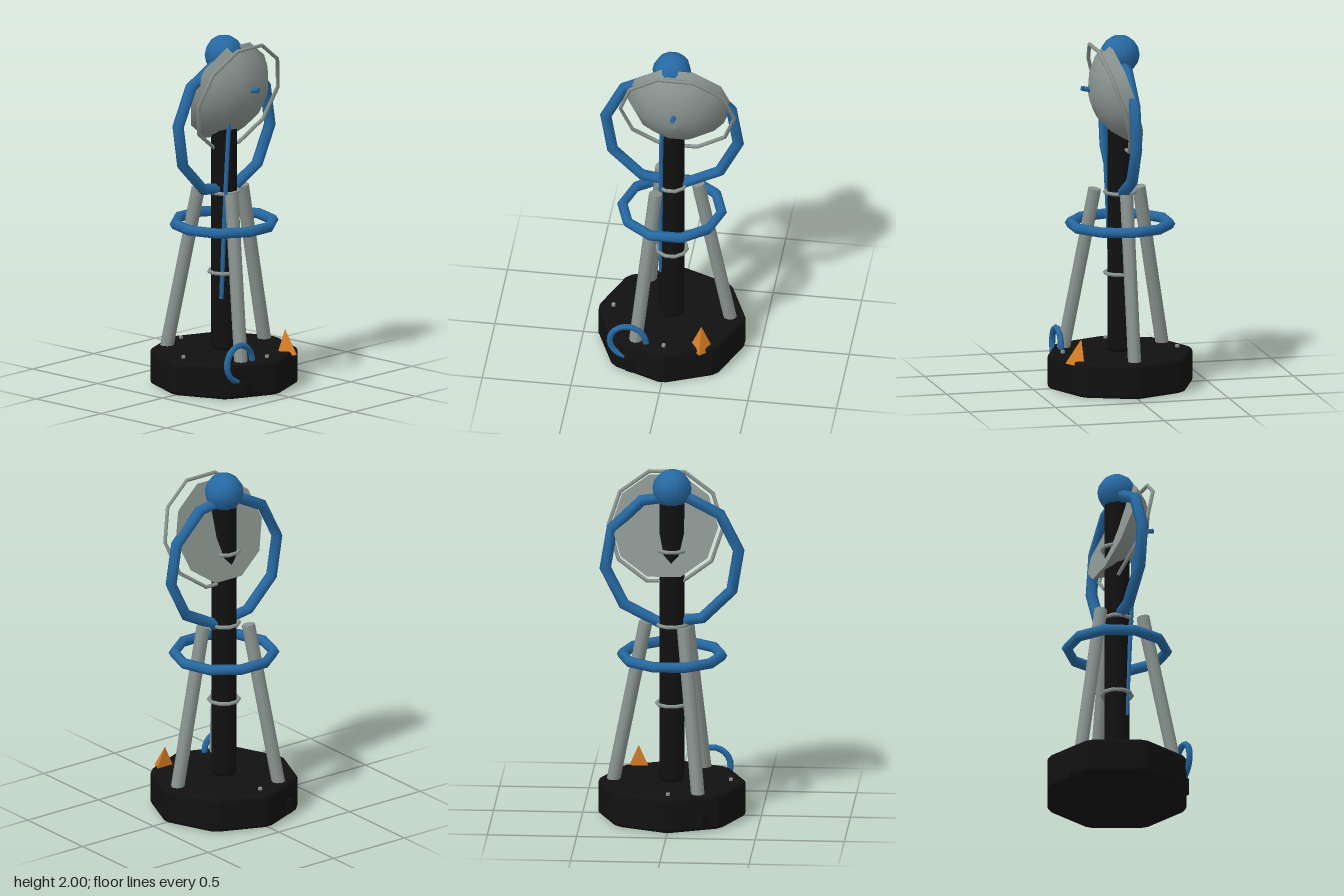
import * as THREE from 'three';

const mat = (name, color) => {
  const m = new THREE.MeshStandardMaterial({ color });
  m.name = name;
  return m;
};

export function createModel() {
  const root = new THREE.Group();
  const black = mat('black', 0x111111);
  const grey = mat('grey', 0x8a9490);
  const blue = mat('blue', 0x2669a3);
  const orange = mat('orange', 0xd67c22);

  const add = (name, geo, material, x = 0, y = 0, z = 0, parent = root) => {
    const m = new THREE.Mesh(geo, material);
    m.name = name;
    m.position.set(x, y, z);
    parent.add(m);
    return m;
  };
  const ring = (r, tube, sides = 6, segs = 10, arc = Math.PI * 2) =>
    new THREE.TorusGeometry(r, tube, sides, segs, arc);

  // Cylinder between two points
  const rod = (name, a, b, r, material, sides = 8) => {
    const dir = b.clone().sub(a);
    const m = add(name, new THREE.CylinderGeometry(r, r, dir.length(), sides), material);
    m.position.copy(a).add(b).multiplyScalar(0.5);
    m.quaternion.setFromUnitVectors(new THREE.Vector3(0, 1, 0), dir.normalize());
    return m;
  };

  // Octagonal base with cut corners and bevelled edges
  const outline = [];
  for (let i = 0; i < 8; i++) {
    for (const s of [-0.055, 0.055]) {
      const a = (i * Math.PI) / 4 + s;
      outline.push(new THREE.Vector2(0.412 * Math.cos(a), 0.412 * Math.sin(a)));
    }
  }
  const baseGeo = new THREE.ExtrudeGeometry(new THREE.Shape(outline), {
    depth: 0.16, bevelEnabled: true, bevelThickness: 0.02, bevelSize: 0.02, bevelOffset: -0.02, bevelSegments: 2,
  });
  baseGeo.rotateX(-Math.PI / 2);
  add('base', baseGeo, black, 0, 0.02, 0);

  // Three splayed legs, each with a foot at the base edge
  for (let i = 0; i < 3; i++) {
    const a = (i * Math.PI * 2) / 3;
    const at = (r, y) => new THREE.Vector3(r * Math.cos(a), y, r * Math.sin(a));
    rod('leg', at(0.335, 0.16), at(0.147, 1.115), 0.038, grey);
    const f = at(0.36, 0.06);
    add('foot', new THREE.CylinderGeometry(0.05, 0.05, 0.08, 8), black, f.x, f.y, f.z);
  }

  // Bolts on the base
  for (let i = 0; i < 4; i++) {
    const a = (i * Math.PI) / 2;
    add('bolt', new THREE.CylinderGeometry(0.012, 0.012, 0.03, 6), grey,
      0.33 * Math.cos(a), 0.2, 0.33 * Math.sin(a));
  }

  // Mast with collars and a ball on top
  add('mast', new THREE.CylinderGeometry(0.072, 0.072, 1.6, 10), black, 0, 1.02, 0);
  add('mastFoot', new THREE.CylinderGeometry(0.072, 0.055, 0.03, 10), black, 0, 0.205, 0);
  for (const y of [0.645, 1.105, 1.54]) {
    add('collar', ring(0.085, 0.011).rotateX(Math.PI / 2), grey, 0, y, 0);
  }
  add('topBall', new THREE.SphereGeometry(0.11, 10, 8), blue, 0, 1.89, 0);

  // Large horizontal and vertical hoops
  add('levelHoop', ring(0.28, 0.03).rotateX(Math.PI / 2), blue, 0, 0.925, 0);
  add('uprightHoop', ring(0.378, 0.033).rotateZ(-0.15), blue, 0, 1.48, 0);

  // Domed dish tipped forward, flat at the back, with a thin ring in front
  const dish = new THREE.Group();
  dish.name = 'dish';
  dish.position.set(0.04, 1.675, -0.01);
  dish.rotation.x = 0.297;
  root.add(dish);
  const R = 0.33, open = 1.14;
  const cap = [];
  for (let i = 0; i <= 4; i++) {
    const t = open * (1 - i / 4);
    cap.push(new THREE.Vector2(R * Math.sin(t), R * (Math.cos(t) - Math.cos(open))));
  }
  add('dishDome', new THREE.LatheGeometry(cap, 10, Math.PI / 2).rotateX(Math.PI / 2), grey, 0, 0, 0, dish);
  add('dishBack', new THREE.CircleGeometry(0.3, 10).rotateY(Math.PI), grey, 0, 0, 0, dish);
  add('dishRing', ring(0.322, 0.011), grey, 0, 0, 0.085, dish);

  // Feed pin at the middle of the dish
  rod('feedPin', new THREE.Vector3(0.035, 1.685, 0.1), new THREE.Vector3(0.035, 1.715, 0.232), 0.014, blue);

  // Cable running from the ball down the mast
  const path = new THREE.CatmullRomCurve3([
    new THREE.Vector3(-0.03, 1.95, 0.06),
    new THREE.Vector3(-0.02, 1.91, 0.1),
    new THREE.Vector3(-0.045, 1.55, 0.085),
    new THREE.Vector3(-0.055, 1.13, 0.065),
    new THREE.Vector3(-0.058, 0.5, 0.035),
  ]);
  add('cable', new THREE.TubeGeometry(path, 16, 0.013, 5), blue);

  // Curved handle and small cone at the front of the base
  add('handle', ring(0.102, 0.018, 6, 16, Math.PI * 1.5), blue, -0.205, 0.2, 0.313);
  const coneGeo = new THREE.ConeGeometry(0.08, 0.15, 3).toNonIndexed();
  coneGeo.computeVertexNormals();
  const cone = add('cone', coneGeo, orange, 0.205, 0.245, 0.29);
  cone.scale.z = 0.8;
  cone.rotation.x = -0.2;

  return root;
}
